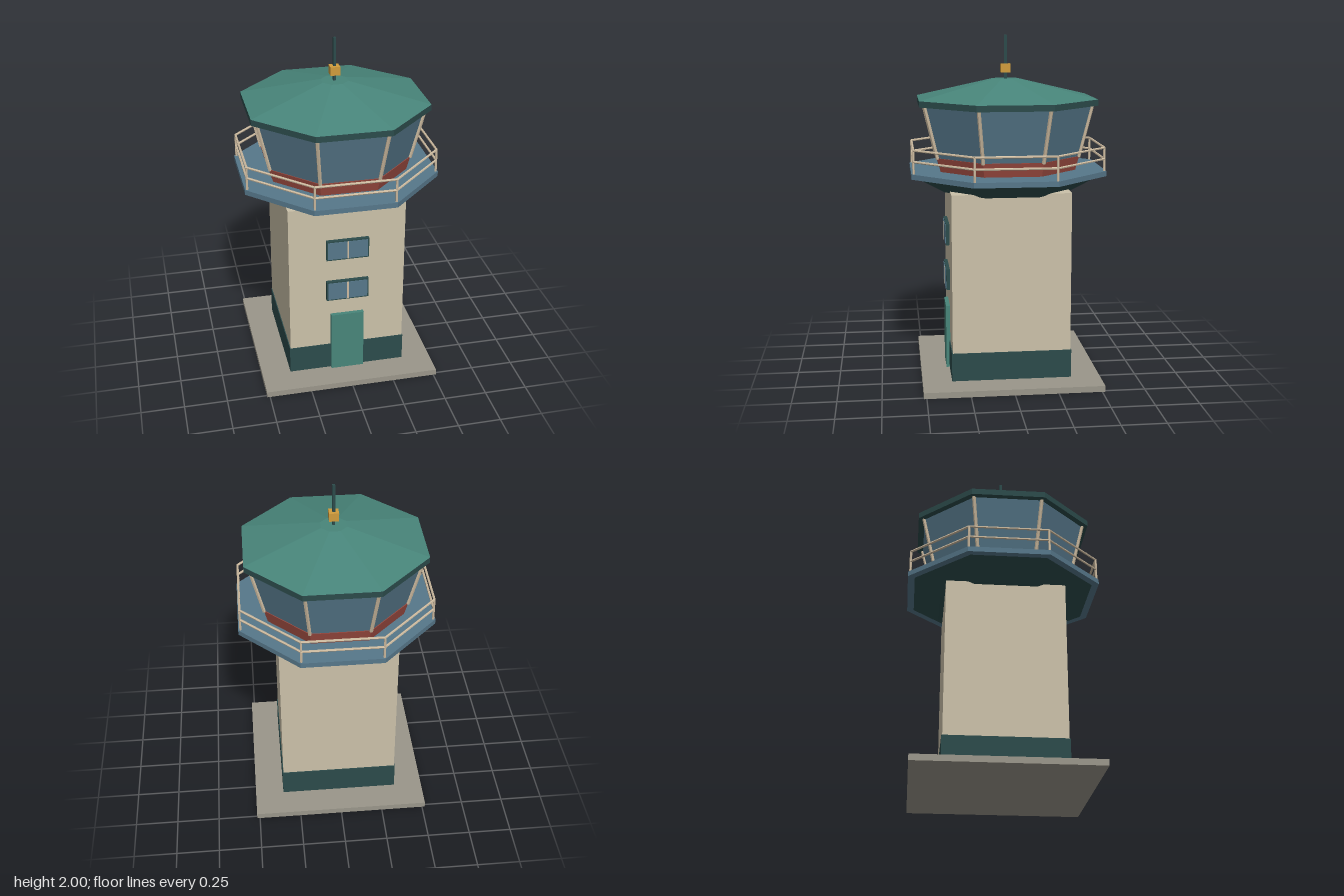
import * as THREE from 'three';

const COS = Math.cos(Math.PI / 8);

function material(name, color) {
  const m = new THREE.MeshStandardMaterial({ color, flatShading: true });
  m.name = name;
  return m;
}

export function createModel() {
  const tower = new THREE.Group();
  tower.name = 'controlTower';

  const wall = material('cream wall', 0xcbc1a9);
  const dark = material('dark green', 0x2c4b4b);
  const teal = material('teal', 0x48857a);
  const blue = material('blue', 0x56778a);
  const red = material('brick red', 0x9c4a40);
  const trim = material('beige trim', 0xcdbba0);
  const stone = material('grey stone', 0x9a968a);
  const amber = material('amber', 0xd09c3c);

  function add(name, geometry, mat, parent = tower) {
    const mesh = new THREE.Mesh(geometry, mat);
    mesh.name = name;
    parent.add(mesh);
    return mesh;
  }

  // Box given by its width, depth, bottom and top
  function box(name, mat, w, d, y0, y1, z = 0, x = 0, parent = tower) {
    const mesh = add(name, new THREE.BoxGeometry(w, y1 - y0, d), mat, parent);
    mesh.position.set(x, (y0 + y1) / 2, z);
    return mesh;
  }

  // Eight-sided tapered ring with a flat side to the front; sizes are centre-to-side
  function octagon(name, mat, bottom, top, y0, y1) {
    const g = new THREE.CylinderGeometry(top / COS, bottom / COS, y1 - y0, 8, 1, false, Math.PI / 8);
    const mesh = add(name, g, mat);
    mesh.position.y = (y0 + y1) / 2;
    return mesh;
  }

  // Corner i of an octagon
  function corner(i, apothem, y) {
    const a = Math.PI / 8 + (i * Math.PI) / 4;
    const r = apothem / COS;
    return new THREE.Vector3(Math.sin(a) * r, y, Math.cos(a) * r);
  }

  // Round bar between two points
  function bar(name, a, b, r, mat, parent) {
    const mesh = add(name, new THREE.CylinderGeometry(r, r, a.distanceTo(b), 6), mat, parent);
    mesh.position.copy(a).add(b).multiplyScalar(0.5);
    mesh.quaternion.setFromUnitVectors(new THREE.Vector3(0, 1, 0), b.clone().sub(a).normalize());
    return mesh;
  }

  // Slab, shaft and plinth
  box('foundationSlab', stone, 1.034, 1.034, 0, 0.035);
  box('shaft', wall, 0.684, 0.684, 0.035, 1.125);
  box('plinth', dark, 0.694, 0.694, 0.035, 0.2);

  // Door and two windows on the front
  box('door', teal, 0.196, 0.025, 0.035, 0.415, 0.353);
  for (const y of [0.52, 0.79]) {
    const win = new THREE.Group();
    win.name = 'shaftWindow';
    tower.add(win);
    box('windowFrame', dark, 0.25, 0.025, y, y + 0.125, 0.351, 0, win);
    box('windowGlass', blue, 0.234, 0.006, y + 0.008, y + 0.117, 0.364, 0, win);
    box('windowMullion', trim, 0.01, 0.008, y + 0.008, y + 0.117, 0.366, 0, win);
  }

  // Flared underside, walkway and cabin
  octagon('soffit', dark, 0.37, 0.52, 1.11, 1.2);
  octagon('walkway', blue, 0.56, 0.56, 1.2, 1.23);
  octagon('cabinBase', red, 0.39, 0.41, 1.23, 1.31);
  octagon('cabinGlass', blue, 0.405, 0.475, 1.31, 1.605);

  // Roof with a dark eave
  octagon('eave', dark, 0.51, 0.51, 1.605, 1.64);
  octagon('roof', teal, 0.51, 0.073, 1.64, 1.75);

  // Cabin mullions and walkway railing, one of each per corner
  const railing = new THREE.Group();
  railing.name = 'railing';
  tower.add(railing);
  for (let i = 0; i < 8; i++) {
    bar('cabinMullion', corner(i, 0.407, 1.305), corner(i, 0.478, 1.607), 0.011, trim, tower);
    bar('railPost', corner(i, 0.547, 1.23), corner(i, 0.547, 1.365), 0.007, trim, railing);
    for (const y of [1.3, 1.365]) {
      bar('handrail', corner(i, 0.547, y), corner(i + 1, 0.547, y), 0.007, trim, railing);
    }
  }

  // Mast with its beacon
  box('mast', dark, 0.016, 0.016, 1.74, 2);
  box('beacon', amber, 0.056, 0.056, 1.785, 1.835);

  return tower;
}
